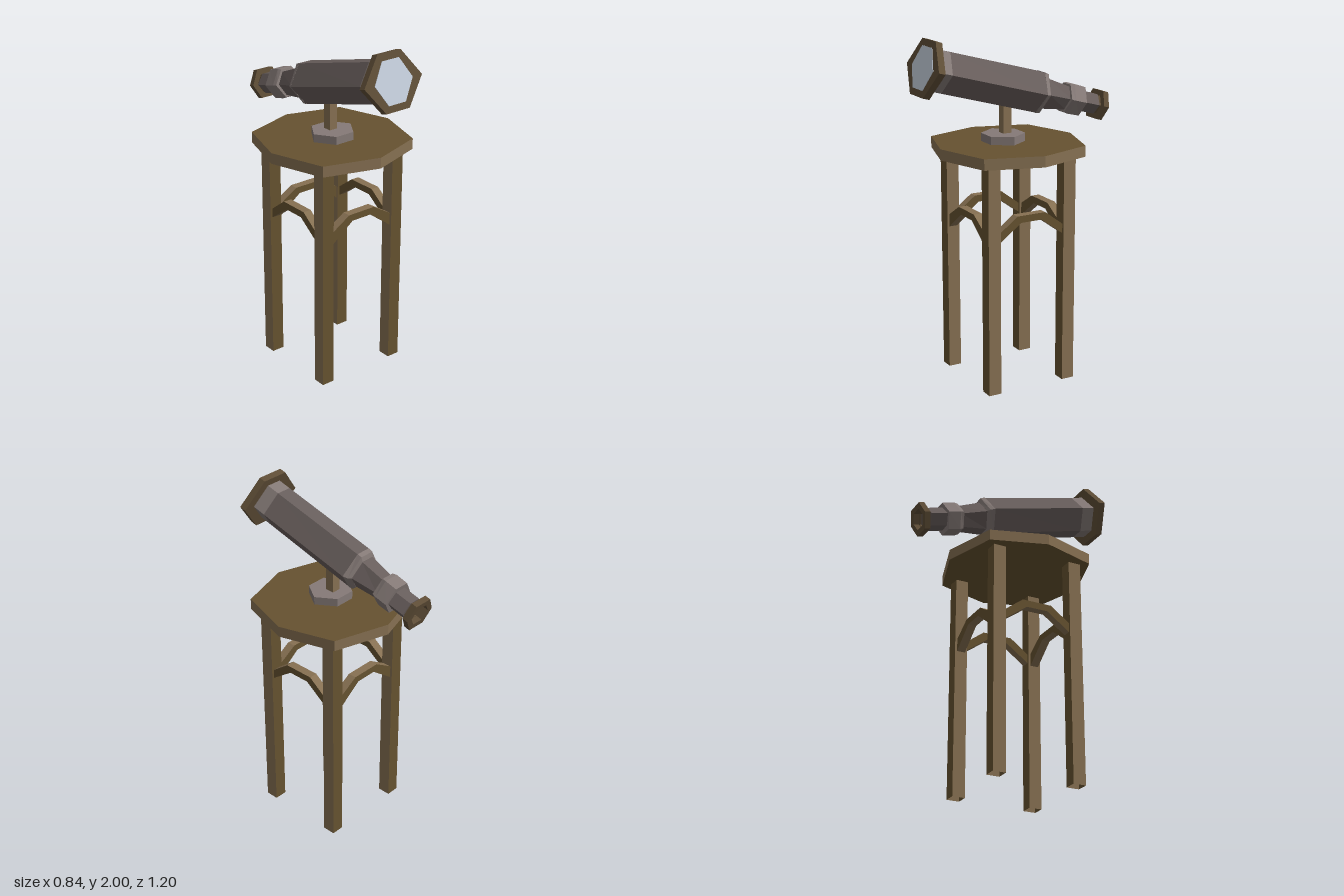
import * as THREE from 'three';

const mat = (name, color) => {
  const m = new THREE.MeshStandardMaterial({ color, side: THREE.DoubleSide, flatShading: true });
  m.name = name;
  return m;
};

// Flat-topped hexagon: side points at +-xv, flats from -xt to xt at +-h
const hexagon = (xv, xt, h) => [[xv, 0], [xt, h], [-xt, h], [-xv, 0], [-xt, -h], [xt, -h]];

// Hexagonal loft along z; each section is [z, xv, xt, h]
function loft(sections, capStart = true, capEnd = true) {
  const rings = sections.map(([z, ...r]) => hexagon(...r).map(([x, y]) => [x, y, z]));
  const pos = [];
  const tri = (a, b, c) => pos.push(...a, ...b, ...c);
  for (let i = 0; i < rings.length - 1; i++) {
    for (let k = 0; k < 6; k++) {
      const n = (k + 1) % 6, A = rings[i], B = rings[i + 1];
      tri(A[k], A[n], B[n]);
      tri(A[k], B[n], B[k]);
    }
  }
  const first = rings[0], last = rings[rings.length - 1];
  for (let k = 1; k < 5; k++) {
    if (capStart) tri(first[0], first[k + 1], first[k]);
    if (capEnd) tri(last[0], last[k], last[k + 1]);
  }
  const g = new THREE.BufferGeometry();
  g.setAttribute('position', new THREE.Float32BufferAttribute(pos, 3));
  g.computeVertexNormals();
  return g;
}

export function createModel() {
  const root = new THREE.Group();
  root.name = 'telescopeOnStand';

  const darkWood = mat('dark wood', 0x665230);
  const lightWood = mat('light wood', 0x867052);
  const capWood = mat('cap brown', 0x5f4e37);
  const tubeGrey = mat('tube grey', 0x685e5c);
  const ringGrey = mat('ring grey', 0x857a77);
  const glass = mat('lens glass', 0xc4cedb);

  const add = (parent, name, geometry, material, x = 0, y = 0, z = 0) => {
    const m = new THREE.Mesh(geometry, material);
    m.name = name;
    m.position.set(x, y, z);
    parent.add(m);
    return m;
  };

  const zMid = 0.05;

  // Octagonal table top with a lighter rim
  const topShape = new THREE.Shape();
  for (let i = 0; i < 8; i++) {
    const a = i * Math.PI / 4, r = i % 2 ? 0.453 : 0.42;
    topShape[i ? 'lineTo' : 'moveTo'](r * Math.cos(a), r * Math.sin(a));
  }
  const topGeo = new THREE.ExtrudeGeometry(topShape, { depth: 0.063, bevelEnabled: false });
  topGeo.rotateX(-Math.PI / 2);
  add(root, 'tableTop', topGeo, [darkWood, lightWood], 0, 1.33, zMid);

  // Four hollow legs, open underneath, lighter on the left and right sides
  for (const sx of [-1, 1]) {
    for (const sz of [-1, 1]) {
      const leg = new THREE.BoxGeometry(0.076, 1.33, 0.076);
      leg.groups.splice(3, 1);
      add(root, (sz > 0 ? 'front' : 'back') + (sx > 0 ? 'Left' : 'Right') + 'Leg', leg,
        [lightWood, lightWood, darkWood, darkWood, darkWood, darkWood], sx * 0.249, 0.665, zMid + sz * 0.24);
    }
  }

  // Arched braces between neighbouring legs
  const brace = (half, flat, rise) => {
    const s = new THREE.Shape();
    const side = [[-half, 0.87 + rise], [-flat + 0.025, 0.98 + rise / 2]];
    const over = [[-flat, 1.02 + rise / 2], [-half, 0.945]];
    const pts = [...side, ...side.map(([x, y]) => [-x, y]).reverse(),
      ...over.map(([x, y]) => [-x, y]).reverse(), ...over];
    s.setFromPoints(pts.map(([x, y]) => new THREE.Vector2(x, y)));
    return new THREE.ExtrudeGeometry(s, { depth: 0.05, bevelEnabled: false }).translate(0, 0, -0.025);
  };
  for (const s of [-1, 1]) {
    add(root, s > 0 ? 'frontBrace' : 'backBrace', brace(0.213, 0.09, 0), [darkWood, lightWood], 0, 0, zMid + s * 0.24);
    const sideBrace = add(root, s > 0 ? 'leftBrace' : 'rightBrace', brace(0.203, 0.09, 0.02),
      [darkWood, lightWood], s * 0.249, 0, zMid);
    sideBrace.rotation.y = Math.PI / 2;
  }

  // Mount: hexagonal foot and square post
  const foot = loft([[0, 0.132, 0.06, 0.11], [0.05, 0.132, 0.06, 0.11]]).rotateX(-Math.PI / 2);
  add(root, 'mountFoot', foot, ringGrey, -0.012, 1.39, 0.07);
  add(root, 'mountPost', new THREE.BoxGeometry(0.05, 0.24, 0.053), lightWood, -0.013, 1.52, 0.054);

  // Telescope, built along z with the large lens at z = 0, then tilted up
  const scope = new THREE.Group();
  scope.name = 'telescope';
  scope.position.set(-0.008, 1.845, 0.545);
  scope.rotation.x = -0.268;
  root.add(scope);

  add(scope, 'mainTube', loft([[-0.715, 0.13, 0.045, 0.115], [-0.1, 0.13, 0.045, 0.113]]), tubeGrey);
  add(scope, 'frontBand', loft([[-0.1, 0.13, 0.045, 0.113], [-0.02, 0.13, 0.045, 0.113]]), ringGrey);
  add(scope, 'rearBevel', loft([[-0.755, 0.1, 0.04, 0.088], [-0.742, 0.118, 0.043, 0.113],
    [-0.715, 0.13, 0.045, 0.117]]), ringGrey);
  add(scope, 'taperedTube', loft([[-0.915, 0.072, 0.033, 0.066], [-0.75, 0.1, 0.04, 0.087]]), tubeGrey);
  add(scope, 'focusRing', loft([[-1.006, 0.099, 0.045, 0.084], [-0.93, 0.099, 0.045, 0.086],
    [-0.905, 0.094, 0.04, 0.08]]), ringGrey);
  add(scope, 'eyepieceTube', loft([[-1.11, 0.079, 0.035, 0.057], [-1.0, 0.079, 0.035, 0.057]]), tubeGrey);

  // Hollow eyepiece cap and the larger front cap with its glass
  add(scope, 'eyepieceCap', loft([[-1.112, 0.066, 0.034, 0.052], [-1.163, 0.066, 0.034, 0.052],
    [-1.163, 0.1, 0.055, 0.083], [-1.128, 0.1, 0.055, 0.083], [-1.128, 0.06, 0.03, 0.05]], false, false), capWood);
  add(scope, 'frontCap', loft([[-0.02, 0.198, 0.08, 0.155], [0.02, 0.198, 0.08, 0.155]]), capWood);
  add(scope, 'frontLens', loft([[0.018, 0.13, 0.058, 0.117], [0.023, 0.13, 0.058, 0.117]]), glass);

  return root;
}
